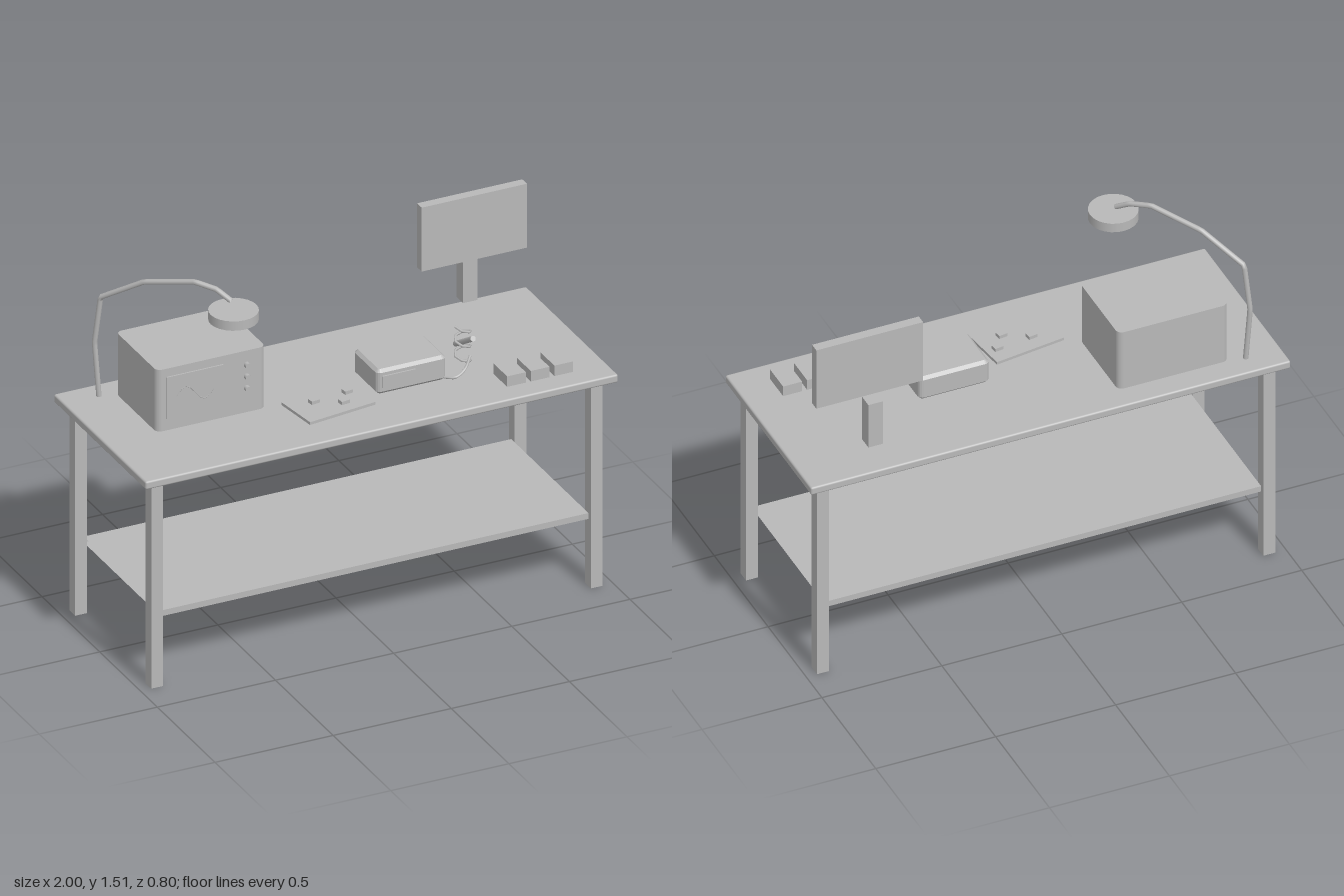
import * as THREE from 'three';
import { RoundedBoxGeometry } from 'three/addons/geometries/RoundedBoxGeometry.js';

const grey = new THREE.MeshStandardMaterial({ color: 0xb8b8b8 });
grey.name = 'grey';
grey.side = THREE.DoubleSide; // legs and shelf are open-ended

const TOP = 0.92; // height of the work surface
const V = (x, y, z) => new THREE.Vector3(x, y, z);

function add(parent, name, geometry, x = 0, y = 0, z = 0) {
  const mesh = new THREE.Mesh(geometry, grey);
  mesh.name = name;
  mesh.position.set(x, y, z);
  parent.add(mesh);
  return mesh;
}

const box = (w, h, d) => new THREE.BoxGeometry(w, h, d);

// Box with both faces across one axis (0 = x, 1 = y, 2 = z) left off
function openBox(w, h, d, axis) {
  const g = box(w, h, d);
  const index = Array.from(g.index.array);
  index.splice(axis * 12, 12);
  g.setIndex(index);
  g.clearGroups();
  return g;
}

// Upright block standing on y = 0 with rounded vertical edges and optional bevels
function roundedBlock(w, h, d, r, bevel, segments) {
  const x = w / 2, y = d / 2;
  const s = new THREE.Shape();
  s.moveTo(-x + r, -y);
  s.lineTo(x - r, -y).absarc(x - r, -y + r, r, -Math.PI / 2, 0);
  s.lineTo(x, y - r).absarc(x - r, y - r, r, 0, Math.PI / 2);
  s.lineTo(-x + r, y).absarc(-x + r, y - r, r, Math.PI / 2, Math.PI);
  s.lineTo(-x, -y + r).absarc(-x + r, -y + r, r, Math.PI, Math.PI * 1.5);
  const g = new THREE.ExtrudeGeometry(s, {
    depth: h - 2 * bevel, curveSegments: segments, bevelEnabled: bevel > 0,
    bevelSize: bevel, bevelOffset: -bevel, bevelThickness: bevel, bevelSegments: 1,
  });
  g.rotateX(-Math.PI / 2);
  g.translate(0, bevel, 0);
  return g;
}

// Round tube through straight segments between points
function pipe(points, radius, sides = 8) {
  const path = new THREE.CurvePath();
  for (let i = 1; i < points.length; i++) path.add(new THREE.LineCurve3(points[i - 1], points[i]));
  return new THREE.TubeGeometry(path, points.length * 8, radius, sides, false);
}

function makeBench() {
  const bench = new THREE.Group();
  bench.name = 'bench';
  add(bench, 'tableTop', new RoundedBoxGeometry(2, 0.035, 0.8, 2, 0.008), 0, TOP - 0.0175, 0);
  for (const sx of [-1, 1]) for (const sz of [-1, 1])
    add(bench, 'leg', openBox(0.05, 0.886, 0.05, 1), sx * 0.93, 0.443, sz * 0.33);
  add(bench, 'shelf', openBox(1.81, 0.025, 0.67, 0), 0, 0.3025, 0);
  return bench;
}

function makeScope() {
  const scope = new THREE.Group();
  scope.name = 'signalScope';
  scope.position.set(-0.555, TOP, -0.1225);
  add(scope, 'scopeBody', roundedBlock(0.46, 0.265, 0.355, 0.025, 0, 4));
  add(scope, 'screen', box(0.24, 0.18, 0.006), -0.07, 0.14, 0.1805);
  const wave = [];
  for (let i = 0; i <= 8; i++)
    wave.push(V(-0.15 + i * 0.02, 0.14 + 0.035 * Math.sin(i * Math.PI / 4), 0.184));
  add(scope, 'signalTrace', pipe(wave, 0.002, 4));
  for (let i = 0; i < 3; i++)
    add(scope, 'knob', new THREE.CylinderGeometry(0.012, 0.012, 0.018, 12).rotateX(Math.PI / 2),
      0.15, 0.105 + i * 0.05, 0.186);
  return scope;
}

function makeLamp() {
  const lamp = new THREE.Group();
  lamp.name = 'lamp';
  add(lamp, 'lampArm', pipe([
    V(-0.852, TOP, -0.31), V(-0.866, 1.15, -0.32), V(-0.85, 1.35, -0.3), V(-0.735, 1.455, -0.16),
    V(-0.6, 1.502, 0.005), V(-0.54, 1.487, 0.07), V(-0.502, 1.452, 0.118),
  ], 0.011));
  add(lamp, 'lampHead', new THREE.CylinderGeometry(0.097, 0.097, 0.04, 24), -0.503, 1.405, 0.142);
  return lamp;
}

function makeBoard() {
  const board = new THREE.Group();
  board.name = 'circuitBoard';
  board.position.set(-0.103, 0, 0.147);
  board.rotation.y = 0.135;
  add(board, 'boardPlate', box(0.3, 0.012, 0.195), 0, 0.931, 0);
  for (const [x, z] of [[-0.048, -0.028], [0.103, -0.026], [0.046, 0.037]])
    add(board, 'chip', box(0.036, 0.015, 0.026), x, 0.9435, z);
  return board;
}

function makeSolderingSet() {
  const set = new THREE.Group();
  set.name = 'solderingSet';
  add(set, 'station', roundedBlock(0.295, 0.105, 0.21, 0.02, 0.012, 2), 0.2475, TOP, 0.0475);
  add(set, 'stationPanel', box(0.14, 0.05, 0.008), 0.19, 0.975, 0.155);
  const cable = new THREE.CatmullRomCurve3([
    V(0.385, 0.93, 0.145), V(0.42, 0.935, 0.175), V(0.465, 0.955, 0.165), V(0.495, 1.0, 0.15),
  ]);
  add(set, 'cable', new THREE.TubeGeometry(cable, 12, 0.006, 6));
  // Six-sided coil that holds the iron
  const coil = [];
  for (let i = 0; i <= 15; i++) {
    const a = i * Math.PI / 3;
    coil.push(V(0.497 + 0.032 * Math.cos(a), 0.94 + i * 0.0105, 0.08 + 0.032 * Math.sin(a)));
  }
  add(set, 'holderCoil', pipe(coil, 0.005, 6));
  const iron = add(set, 'iron', new THREE.CylinderGeometry(0.011, 0.011, 0.18, 10), 0.495, 1.037, 0.098);
  iron.rotation.x = Math.atan2(0.152, 0.094);
  return set;
}

function makeMonitor() {
  const monitor = new THREE.Group();
  monitor.name = 'monitor';
  add(monitor, 'monitorPanel', box(0.445, 0.275, 0.04), 0.6975, 1.3225, -0.25);
  add(monitor, 'monitorStand', box(0.06, 0.2, 0.06), 0.7, 1.085, -0.3);
  return monitor;
}

export function createModel() {
  const model = new THREE.Group();
  model.name = 'electronicsWorkbench';
  model.add(makeBench(), makeScope(), makeLamp(), makeBoard(), makeSolderingSet(), makeMonitor());
  for (let i = 0; i < 3; i++)
    add(model, 'partsBin', box(0.079, 0.045, 0.12), 0.615 + i * 0.1, TOP + 0.0225, 0.245);
  return model;
}
